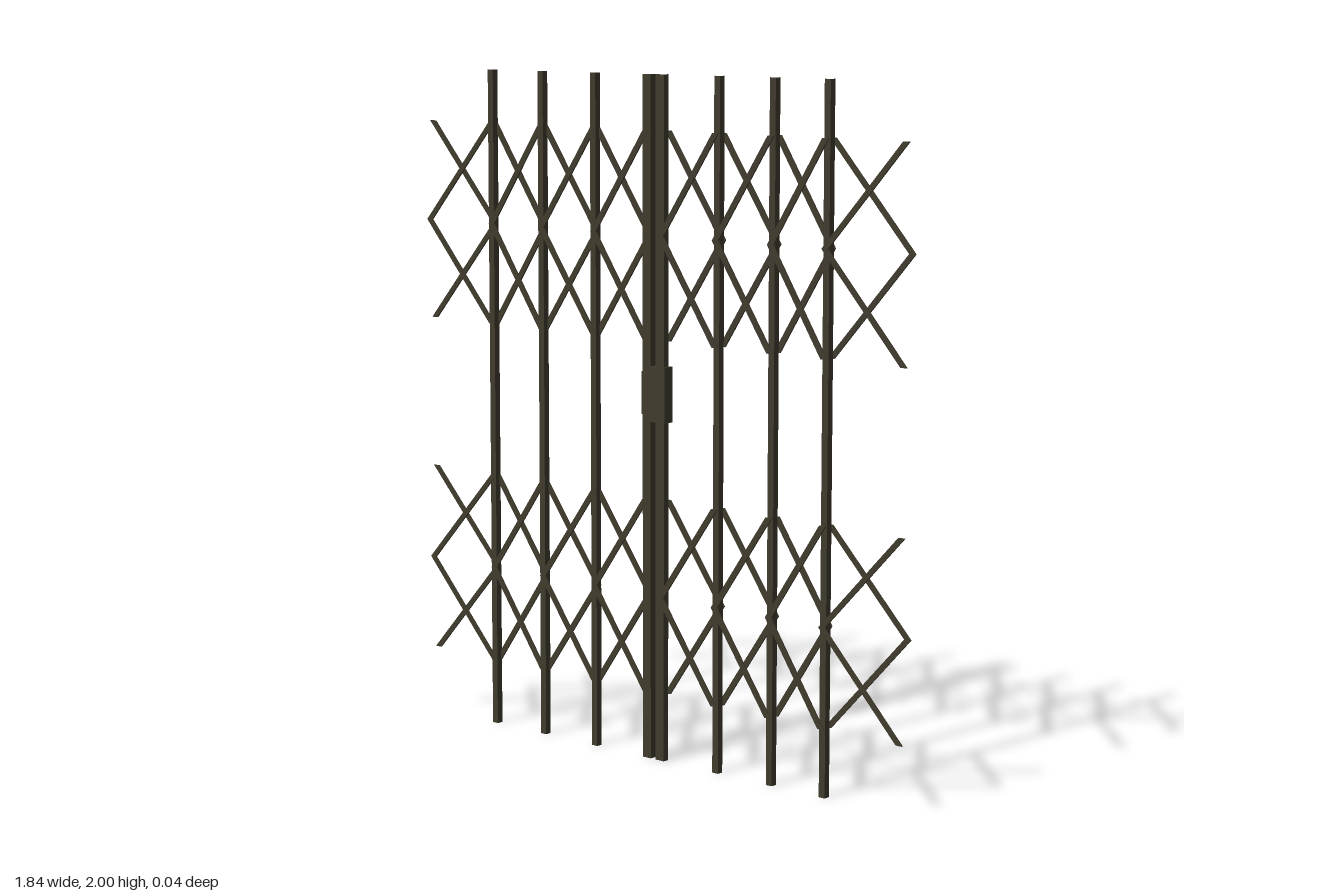
import * as THREE from 'three';

export function createModel() {
  const gate = new THREE.Group();
  gate.name = 'foldingGate';
  const iron = new THREE.MeshStandardMaterial({ color: 0x403b2d });
  iron.name = 'dark bronze iron';

  function add(name, geometry, x, y, z, parent = gate) {
    const mesh = new THREE.Mesh(geometry, iron);
    mesh.name = name;
    mesh.position.set(x, y, z);
    parent.add(mesh);
  }

  // Full-height hollow bar: a box without its top and bottom faces
  function upright(name, width, x) {
    const geometry = new THREE.BoxGeometry(width, 2, 0.02);
    const index = Array.from(geometry.index.array);
    geometry.setIndex([...index.slice(0, 12), ...index.slice(24)]);
    geometry.clearGroups();
    add(name, geometry, x, 1, 0);
  }

  // Flat lattice strip between two points, sheared so its ends are cut level
  function strip(x1, y1, x2, y2, z, thick, parent) {
    const height = Math.abs(y2 - y1);
    const geometry = new THREE.BoxGeometry(0.0215, height, thick);
    const shear = (x2 - x1) / (y2 - y1);
    geometry.applyMatrix4(new THREE.Matrix4().makeShear(0, 0, shear, 0, 0, 0));
    geometry.computeVertexNormals();
    add('latticeStrip', geometry, (x1 + x2) / 2, (y1 + y2) / 2, z, parent);
  }

  // Upright bars
  for (const x of [-0.645, -0.44, -0.23, 0.242, 0.442, 0.633]) upright('uprightBar', 0.021, x);

  // Meeting stiles and lock cases at the centre
  upright('leftMeetingStile', 0.032, 0.029);
  upright('rightMeetingStile', 0.031, -0.021);
  add('leftLockCase', new THREE.BoxGeometry(0.054, 0.162, 0.035), 0.027, 1.083, 0);
  add('rightLockCase', new THREE.BoxGeometry(0.04, 0.125, 0.024), -0.02, 1.083, 0);

  // Scissor lattices: two layers of strips, two rows of crosses per bay
  const leaves = [
    { name: 'rightLattice', nodes: [-0.909, -0.645, -0.44, -0.23, -0.025], z: 0.0085, thick: 0.005 },
    { name: 'leftLattice', nodes: [0.038, 0.242, 0.442, 0.633, 0.905], z: 0.0165, thick: 0.005 },
  ];
  const bands = [[0.198, 0.488, 0.774], [1.237, 1.54, 1.841]];
  for (const { name, nodes, z, thick } of leaves) {
    const lattice = new THREE.Group();
    lattice.name = name;
    gate.add(lattice);
    for (const band of bands) {
      for (let i = 0; i < nodes.length - 1; i++) {
        for (let j = 0; j < 2; j++) {
          // Rising strips lie in front in the upper row and behind in the lower row
          const layer = j === 1 ? z : -z;
          strip(nodes[i], band[j], nodes[i + 1], band[j + 1], layer, thick, lattice);
          strip(nodes[i], band[j + 1], nodes[i + 1], band[j], -layer, thick, lattice);
        }
      }
    }
  }
  return gate;
}
